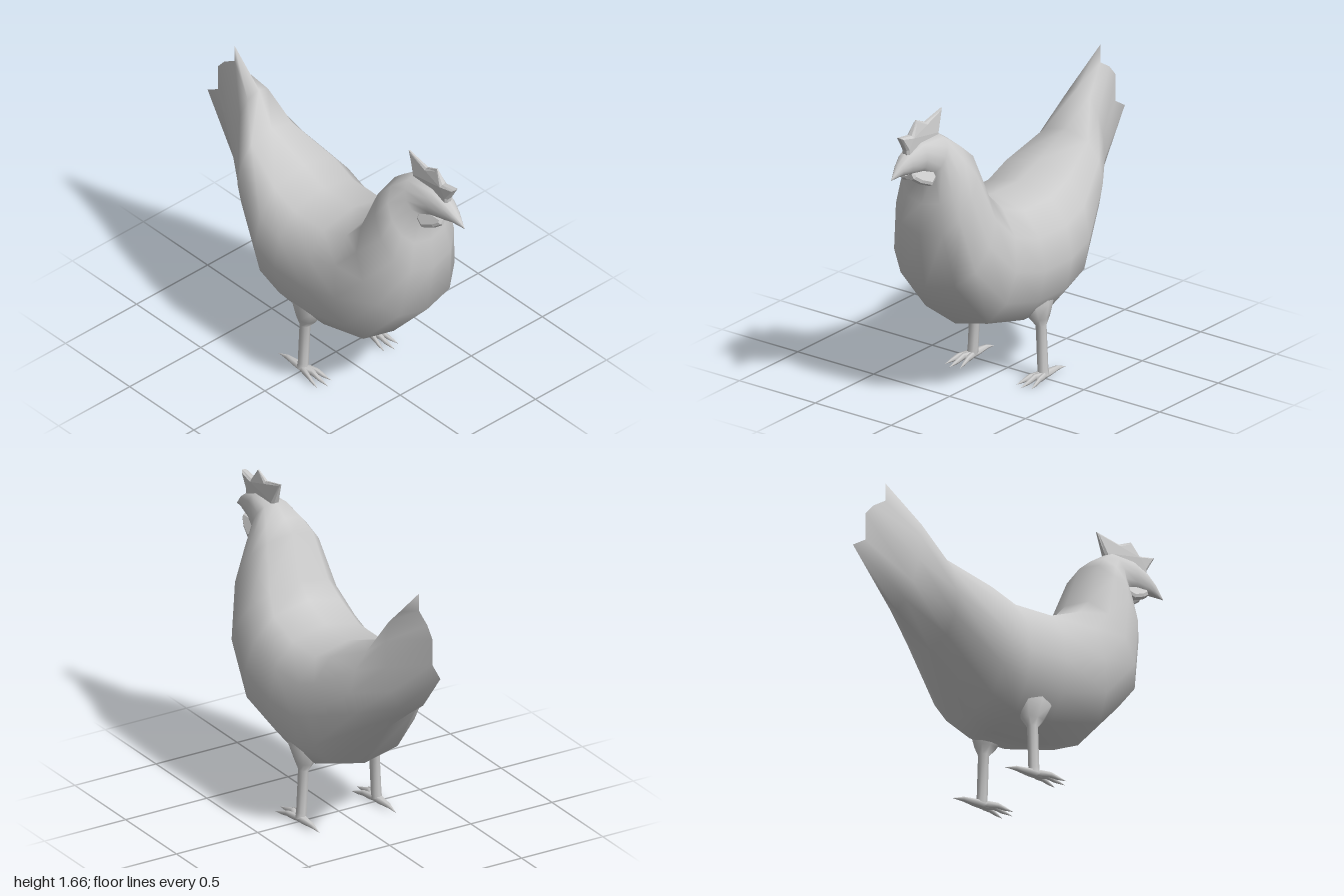
import * as THREE from 'three';

const grey = new THREE.MeshStandardMaterial({ color: 0xcccccc, side: THREE.DoubleSide });
const V = (x, y, z) => new THREE.Vector3(x, y, z);

function part(name, geometry) {
  const m = new THREE.Mesh(geometry, grey);
  m.name = name;
  return m;
}

// Skin closed rings of equal point count into one smooth surface
function loft(rings) {
  const n = rings[0].length, index = [];
  for (let i = 0; i < rings.length - 1; i++) {
    for (let j = 0; j < n; j++) {
      const a = i * n + j, b = i * n + (j + 1) % n;
      index.push(a, a + n, b, b, a + n, b + n);
    }
  }
  const g = new THREE.BufferGeometry().setFromPoints(rings.flat());
  g.setIndex(index);
  g.computeVertexNormals();
  return g;
}

// Body ring spanning from a back point to a belly point in the side plane
const HALF = 6;
function bodyRing([zt, yt, zb, yb, w]) {
  const ring = [];
  for (let k = 0; k < HALF * 2; k++) {
    const a = Math.PI * k / HALF, t = (1 - Math.cos(a)) / 2, s = Math.sin(a);
    ring.push(V(w * Math.sign(s) * Math.abs(s) ** 0.75, yt + (yb - yt) * t, zt + (zb - zt) * t));
  }
  return ring;
}

function buildBody() {
  // jagged flat rear edge of the tail, top to bottom (z, y)
  const edge = [[-0.79, 1.57], [-0.79, 1.47], [-0.87, 1.42], [-0.92, 1.36], [-0.92, 1.21], [-1, 1.16], [-0.83, 0.94]];
  const tailRing = Array.from({ length: HALF * 2 }, (_, k) => {
    const [z, y] = edge[k <= HALF ? k : HALF * 2 - k];
    return V(0, y, z);
  });
  // back z, back y, belly z, belly y, half width
  const sections = [
    [-0.60, 1.39, -0.72, 0.86, 0.12],
    [-0.50, 1.19, -0.50, 0.69, 0.24],
    [-0.25, 1.09, -0.25, 0.38, 0.345],
    [-0.10, 1.03, -0.10, 0.32, 0.345],
    [0.13, 1.03, 0.13, 0.32, 0.345],
    [0.30, 1.10, 0.45, 0.40, 0.345],
    [0.37, 1.18, 0.71, 0.69, 0.30],
    [0.46, 1.42, 0.76, 1.00, 0.235],
    [0.53, 1.48, 0.74, 1.17, 0.18],
    [0.62, 1.54, 0.72, 1.34, 0.11],
    [0.78, 1.54, 0.79, 1.365, 0.075],
    [0.88, 1.50, 0.87, 1.38, 0.05],
    [0.94, 1.455, 0.92, 1.39, 0.03],
    [1.00, 1.39, 1.00, 1.385, 0]
  ];
  return part('body', loft([tailRing, ...sections.map(bodyRing)]));
}

// Plate drawn in the side plane (z, y), centred on x = 0
function plate(points, thick, bevel) {
  const shape = new THREE.Shape(points.map(([z, y]) => new THREE.Vector2(-z, y)));
  const g = new THREE.ExtrudeGeometry(shape, {
    depth: thick, bevelEnabled: true, bevelThickness: bevel, bevelSize: bevel, bevelOffset: -bevel, bevelSegments: 1
  });
  return g.translate(0, 0, -thick / 2).rotateY(Math.PI / 2);
}

function buildComb() {
  const g = plate([[0.88, 1.47], [0.885, 1.52], [0.935, 1.605], [0.84, 1.59], [0.79, 1.66], [0.71, 1.625],
    [0.57, 1.66], [0.615, 1.54], [0.64, 1.47]], 0.026, 0.012);
  // thin the comb toward its points
  const p = g.attributes.position;
  for (let i = 0; i < p.count; i++) {
    p.setX(i, p.getX(i) * (1 - 0.75 * THREE.MathUtils.smoothstep(p.getY(i), 1.57, 1.66)));
  }
  g.computeVertexNormals();
  return part('comb', g);
}

function buildWattle(s) {
  // hangs from the origin, then splays outward
  const g = plate([[0.08, 0], [0.08, -0.03], [0.04, -0.065], [-0.03, -0.1], [-0.08, -0.075], [-0.08, 0]], 0.02, 0.012);
  const m = part(s > 0 ? 'leftWattle' : 'rightWattle', g);
  m.position.set(s * 0.025, 1.385, 0.79);
  m.rotation.z = s * 0.55;
  return m;
}

function buildLeg(s) {
  const group = new THREE.Group();
  group.name = s > 0 ? 'leftLeg' : 'rightLeg';

  // shank flaring into the thigh: x, y, z, radius x, radius z
  const rings = [
    [0.235, 0.025, 0, 0.03, 0.032], [0.23, 0.06, 0, 0.028, 0.03], [0.218, 0.30, 0, 0.028, 0.03],
    [0.21, 0.345, 0.005, 0.048, 0.065], [0.20, 0.44, 0.02, 0.083, 0.11], [0.18, 0.56, 0.02, 0.08, 0.09]
  ].map(([x, y, z, rx, rz]) => Array.from({ length: 8 }, (_, k) => {
    const a = k * Math.PI / 4;
    return V(s * x + rx * Math.cos(a), y, z + rz * Math.sin(a));
  }));
  group.add(part('thighAndShank', loft(rings)));

  // toes run back to front: x offset, y, z, radius x, radius y
  const toe = (name, stations) => group.add(part(name, loft(stations.map(([x, y, z, rx, ry]) =>
    Array.from({ length: 6 }, (_, k) => {
      const a = k * Math.PI / 3;
      return V(s * (0.235 + x) + rx * Math.cos(a), y - ry * Math.sin(a), z);
    })))));
  toe('middleAndBackToe', [
    [0, 0.01, -0.19, 0, 0], [0, 0.024, -0.12, 0.013, 0.013], [0, 0.024, -0.04, 0.026, 0.02],
    [0, 0.024, 0.03, 0.03, 0.022], [0, 0.034, 0.08, 0.015, 0.018], [0, 0.022, 0.13, 0.012, 0.013], [0, 0.01, 0.2, 0, 0]
  ]);
  for (const d of [-1, 1]) {
    toe(d > 0 ? 'outerToe' : 'innerToe', [
      [0, 0.024, -0.03, 0.012, 0.016], [d * 0.018, 0.026, 0.03, 0.016, 0.02],
      [d * 0.032, 0.028, 0.08, 0.013, 0.016], [d * 0.04, 0.018, 0.12, 0.01, 0.011], [d * 0.05, 0.008, 0.17, 0, 0]
    ]);
  }
  return group;
}

export function createModel() {
  const hen = new THREE.Group();
  hen.name = 'hen';
  hen.add(buildBody(), buildComb());
  for (const s of [1, -1]) hen.add(buildWattle(s), buildLeg(s));
  return hen;
}
